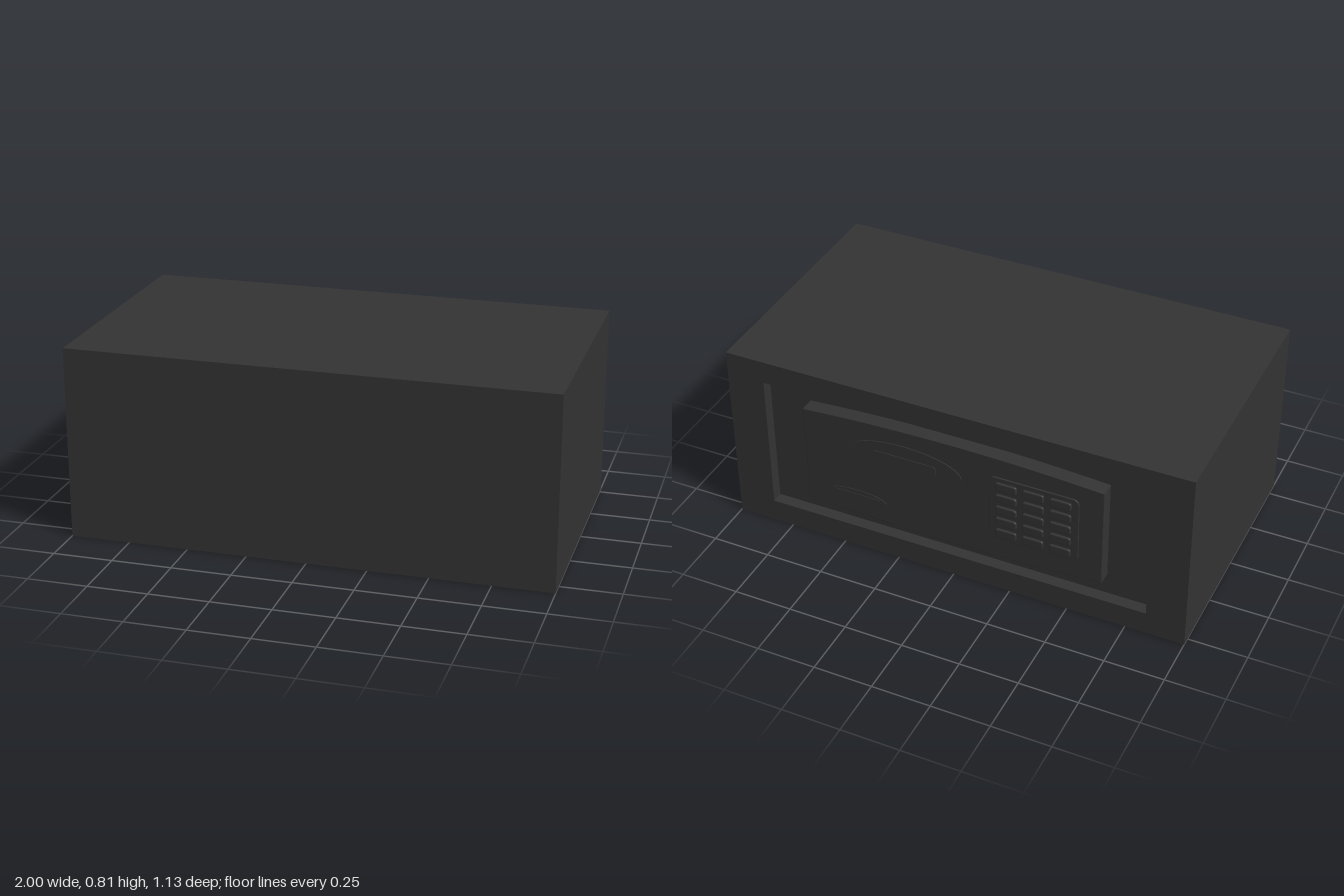
import * as THREE from 'three';

const material = new THREE.MeshStandardMaterial({ color: 0x333333 });

// The door is on the -z side, so raised parts grow from zBack towards -z.
function slab(name, shape, zOuter, zBack, bevel = 0) {
  const geometry = new THREE.ExtrudeGeometry(shape, {
    depth: zBack - zOuter - bevel,
    bevelEnabled: bevel > 0, bevelSize: bevel, bevelThickness: bevel,
    bevelOffset: -bevel, bevelSegments: 2, curveSegments: 24,
  });
  geometry.translate(0, 0, zOuter + bevel);
  const mesh = new THREE.Mesh(geometry, material);
  mesh.name = name;
  return mesh;
}

function roundedRect(cx, cy, w, h, r) {
  const x = w / 2, y = h / 2, s = new THREE.Shape();
  s.absarc(cx + x - r, cy + y - r, r, 0, Math.PI / 2);
  s.absarc(cx - x + r, cy + y - r, r, Math.PI / 2, Math.PI);
  s.absarc(cx - x + r, cy - y + r, r, Math.PI, Math.PI * 1.5);
  s.absarc(cx + x - r, cy - y + r, r, Math.PI * 1.5, Math.PI * 2);
  s.closePath();
  return s;
}

function rect(Type, x0, y0, x1, y1) {
  return new Type([[x0, y0], [x1, y0], [x1, y1], [x0, y1]].map(p => new THREE.Vector2(...p)));
}

function ellipse(cx, cy, rx, ry) {
  return new THREE.Shape().absellipse(cx, cy, rx, ry, 0, Math.PI * 2);
}

export function createModel() {
  const model = new THREE.Group();
  model.name = 'safe';
  const H = 0.807, zFace = -0.535, zFloor = -0.485;

  // Cabinet block with a frame around the recessed door
  const cabinet = new THREE.Mesh(new THREE.BoxGeometry(2, H, 0.565 - zFloor), material);
  cabinet.name = 'cabinet';
  cabinet.position.set(0, H / 2, (0.565 + zFloor) / 2);
  const frameShape = rect(THREE.Shape, -1, 0, 1, H);
  frameShape.holes.push(rect(THREE.Path, -0.835, 0.1, 0.835, 0.707));
  model.add(cabinet, slab('doorFrame', frameShape, zFace, zFloor));

  // Recessed door
  model.add(slab('door', rect(THREE.Shape, -0.83, 0.105, 0.83, 0.702), zFloor - 0.003, zFloor));

  // Control panel with gently bowed top and bottom edges
  const panel = new THREE.Shape();
  panel.moveTo(-0.65, 0.2);
  panel.quadraticCurveTo(0, 0.15, 0.65, 0.2);
  panel.lineTo(0.65, 0.645);
  panel.quadraticCurveTo(0, 0.695, -0.65, 0.645);
  panel.closePath();
  const zPanel = -0.549;
  model.add(slab('controlPanel', panel, zPanel, zFloor, 0.003));

  // Keypad plate and its 3 x 5 buttons
  const keypad = new THREE.Group();
  keypad.name = 'keypad';
  keypad.add(slab('keypadPlate', roundedRect(-0.36, 0.428, 0.38, 0.305, 0.025), zPanel - 0.006, zPanel, 0.002));
  for (let row = 0; row < 5; row++) {
    for (let col = 0; col < 3; col++) {
      const shape = roundedRect(-0.475 + col * 0.115, 0.312 + row * 0.0575, 0.09, 0.038, 0.01);
      keypad.add(slab('button', shape, -0.565, zPanel - 0.005, 0.004));
    }
  }
  model.add(keypad);

  // Raised oval badges, left plain
  model.add(
    slab('largeBadge', ellipse(0.2, 0.515, 0.25, 0.083), zPanel - 0.004, zPanel),
    slab('largeBadgeBar', roundedRect(0.2, 0.515, 0.28, 0.055, 0.015), zPanel - 0.007, zPanel - 0.003),
    slab('smallBadge', ellipse(0.42, 0.275, 0.13, 0.033), zPanel - 0.003, zPanel),
    slab('smallBadgeBar', roundedRect(0.42, 0.28, 0.2, 0.018, 0.006), zPanel - 0.005, zPanel - 0.002),
  );
  return model;
}
